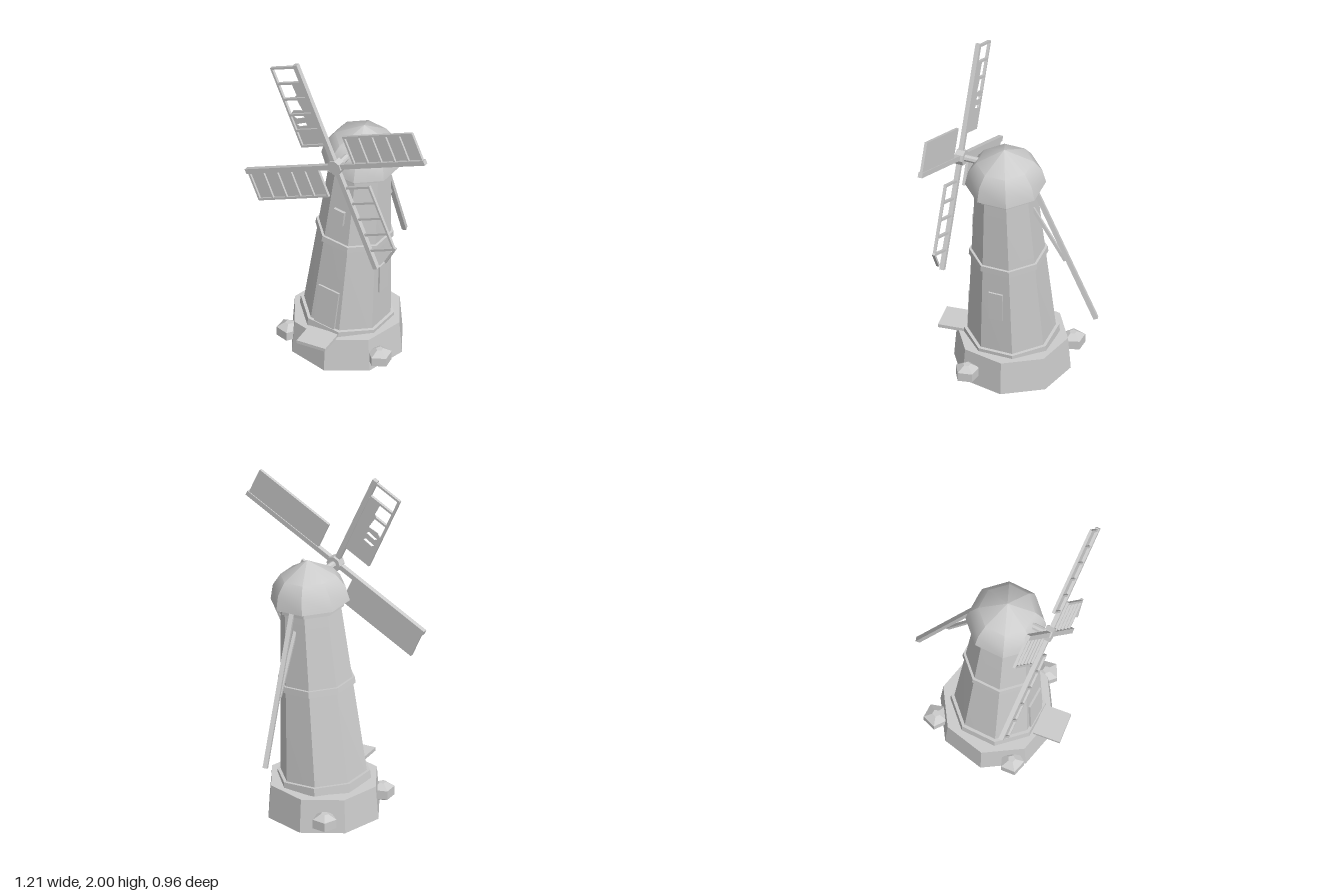
import * as THREE from 'three';
import { toCreasedNormals } from 'three/addons/utils/BufferGeometryUtils.js';

const rad = THREE.MathUtils.degToRad;
const stone = new THREE.MeshStandardMaterial({ color: 0xcccccc });
stone.name = 'paleGrey';
const cloth = new THREE.MeshStandardMaterial({ color: 0xcccccc, side: THREE.DoubleSide });
cloth.name = 'paleGreyCloth';

function add(parent, name, geometry, x = 0, y = 0, z = 0, material = stone) {
  const mesh = new THREE.Mesh(geometry, material);
  mesh.name = name;
  mesh.position.set(x, y, z);
  parent.add(mesh);
  return mesh;
}

// Faceted solid of revolution from [radius, height] pairs, bottom to top
function turned(profile, sides, turn) {
  const pts = profile.map(([r, y]) => new THREE.Vector2(r, y));
  const geo = new THREE.LatheGeometry(pts, sides);
  geo.rotateY(rad(turn));
  return toCreasedNormals(geo, 0.6);
}

// Square beam between two points
function beam(parent, name, from, to, width, depth = width) {
  const a = new THREE.Vector3(...from), b = new THREE.Vector3(...to);
  const mesh = add(parent, name, new THREE.BoxGeometry(width, a.distanceTo(b), depth));
  mesh.position.copy(a).lerp(b, 0.5);
  mesh.quaternion.setFromUnitVectors(new THREE.Vector3(0, 1, 0), b.sub(a).normalize());
  return mesh;
}

function buildTower() {
  const tower = new THREE.Group();
  tower.name = 'leaningTower';
  tower.position.set(-0.107, 0.2, 0.063);
  tower.rotation.z = rad(-5);

  add(tower, 'towerBody', turned([[0, -0.03], [0.25, -0.03], [0.247, 0.045], [0.172, 1.08], [0, 1.08]], 8, 22.5));
  const ring = (name, r0, r1, y0, y1) =>
    add(tower, name, turned([[0, y0], [r0, y0], [r1, y1], [0, y1]], 8, 22.5));
  ring('footRing', 0.268, 0.266, -0.005, 0.042);
  ring('middleBand', 0.223, 0.22, 0.58, 0.616);
  ring('neckRing', 0.192, 0.192, 1.052, 1.092);
  add(tower, 'cap', turned([[0, 1.088], [0.227, 1.088], [0.208, 1.175], [0.16, 1.24], [0, 1.33]], 8, 22.5));

  // Slabs lying on the sloping wall faces
  const slab = (name, angle, y, w, h, out) => {
    const holder = new THREE.Group();
    holder.name = name;
    holder.rotation.y = rad(angle);
    const wall = 0.228 - 0.067 * (y - 0.045);
    const mesh = add(holder, name + 'Panel', new THREE.BoxGeometry(w, h, out * 2), 0, y, wall);
    mesh.rotation.x = rad(-3.9);
    tower.add(holder);
  };
  slab('door', 0, 0.143, 0.135, 0.285, 0.012);
  slab('frontWindow', 0, 0.785, 0.072, 0.092, 0.018);
  slab('sideWindow', 90, 0.35, 0.085, 0.18, 0.011);
  return tower;
}

// One sail: spar along +x, frame on the +y side
function buildSail(kind) {
  const sail = new THREE.Group();
  sail.name = kind + 'Sail';
  add(sail, 'spar', new THREE.BoxGeometry(0.655, 0.03, 0.026), 0.3275, 0, 0);
  const broken = kind === 'bare';
  const end = broken ? 0.54 : 0.645;
  add(sail, 'outerRail', new THREE.BoxGeometry(end - 0.133, 0.013, 0.016), (end + 0.133) / 2, 0.182, 0);
  const bars = broken ? 5 : 6;
  for (let i = 0; i < bars; i++) {
    add(sail, 'crossBar', new THREE.BoxGeometry(0.013, 0.18, 0.016), 0.14 + i * 0.1, 0.095, 0);
  }
  if (broken) beam(sail, 'danglingRail', [0.535, 0.195, 0], [0.618, 0.085, 0], 0.013, 0.016);

  const outlines = {
    whole: [[0.135, 0], [0.643, 0], [0.643, 0.186], [0.135, 0.186]],
    torn: [[0.135, 0], [0.53, 0], [0.545, 0.09], [0.46, 0.085], [0.45, 0.1], [0.36, 0.085],
      [0.365, 0.15], [0.34, 0.182], [0.135, 0.182]],
  };
  if (outlines[kind]) {
    const shape = new THREE.Shape(outlines[kind].map(([u, v]) => new THREE.Vector2(u, v)));
    if (kind === 'torn') {
      // Slits in the cloth
      for (const u of [0.265, 0.315]) {
        shape.holes.push(new THREE.Path([[u, 0.09], [u + 0.018, 0.1], [u + 0.012, 0.165], [u - 0.004, 0.15]]
          .map(([a, b]) => new THREE.Vector2(a, b))));
      }
    }
    add(sail, 'cloth', new THREE.ExtrudeGeometry(shape, { depth: 0.004, bevelEnabled: false }), 0, 0, -0.008, cloth);
  }
  return sail;
}

export function createModel() {
  const model = new THREE.Group();
  model.name = 'windmill';

  // Plinth
  add(model, 'plinth', turned([[0, 0], [0.333, 0], [0.317, 0.2], [0, 0.2]], 8, 10.3), -0.107, 0, 0.06);

  // Stones set around the plinth
  const stones = [[-0.305, -0.225, 215], [0.207, 0.208, 65], [-0.355, 0.275, 310]];
  for (const [x, z, turn] of stones) {
    add(model, 'plinthStone',
      turned([[0, 0.042], [0.03, 0.042], [0.07, 0.062], [0.07, 0.115], [0.022, 0.143], [0, 0.143]], 5, turn), x, 0, z);
  }

  // Doorstep
  add(model, 'doorstep', new THREE.BoxGeometry(0.18, 0.02, 0.16), -0.088, 0.207, 0.392).rotation.y = rad(6);

  model.add(buildTower());

  // Axle and hub
  const turnZ = (r, len, sides) => new THREE.CylinderGeometry(r, r, len, sides).rotateX(Math.PI / 2);
  add(model, 'axle', toCreasedNormals(turnZ(0.02, 0.2, 8), 0.6), -0.003, 1.398, 0.25);
  add(model, 'hub', toCreasedNormals(turnZ(0.045, 0.05, 8), 0.6), -0.003, 1.398, 0.328);

  // Four sails
  const sails = new THREE.Group();
  sails.name = 'sails';
  sails.position.set(-0.003, 1.398, 0.332);
  ['whole', 'torn', 'whole', 'bare'].forEach((kind, i) => {
    const sail = buildSail(kind);
    sail.rotation.z = rad(24.3 + i * 90);
    sails.add(sail);
  });
  model.add(sails);

  // Tail pole with its brace
  beam(model, 'tailPole', [-0.01, 1.32, -0.1], [-0.065, 0.46, -0.461], 0.026);
  beam(model, 'tailBrace', [-0.018, 1.18, -0.08], [-0.043, 0.825, -0.285], 0.018);

  return model;
}
